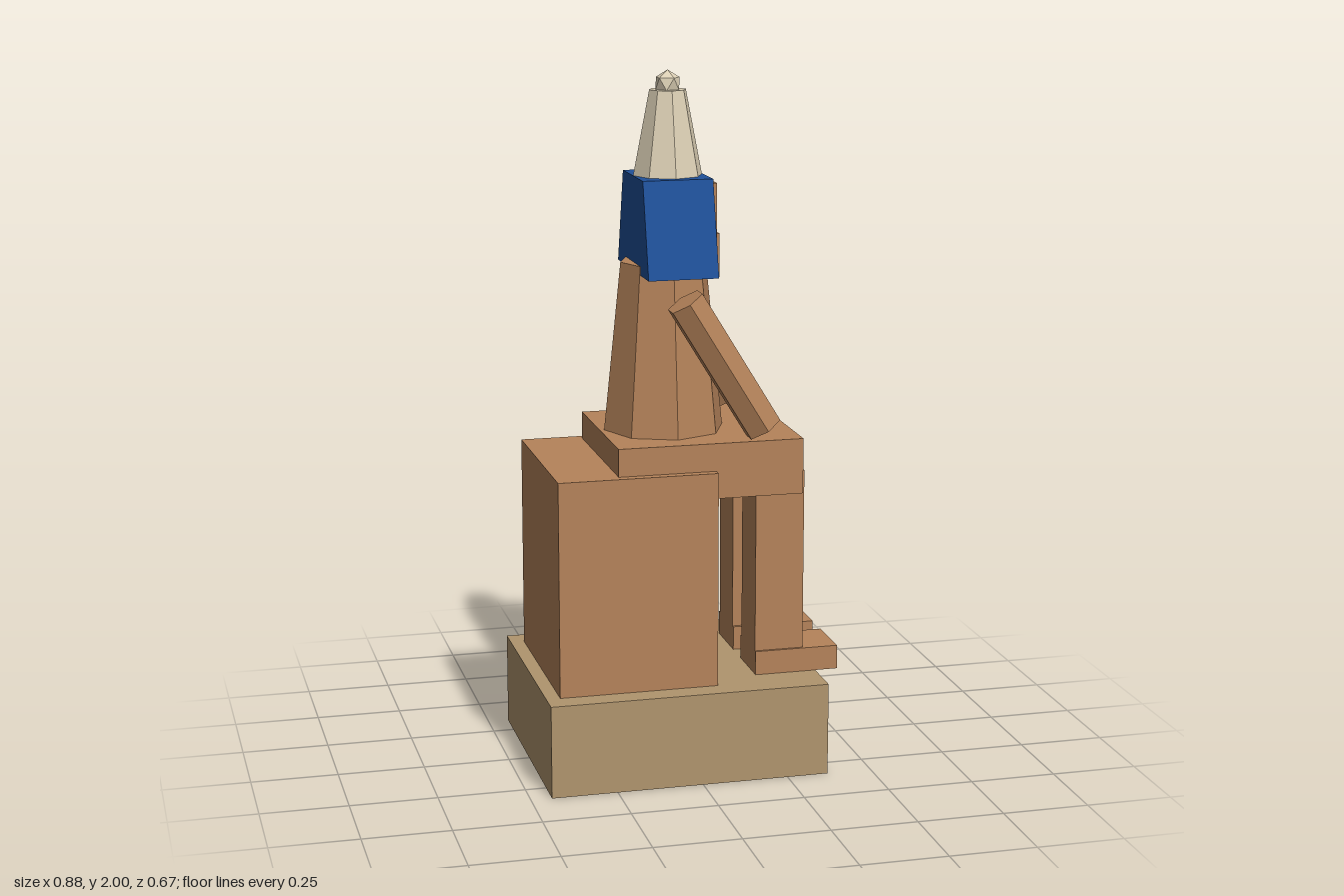
import * as THREE from 'three';

const paint = (name, color) => {
  const m = new THREE.MeshStandardMaterial({ color, flatShading: true });
  m.name = name;
  return m;
};

export function createModel() {
  const model = new THREE.Group();
  model.name = 'seatedStatue';
  const clay = paint('clay', 0xb5835a);
  const sand = paint('sandstone', 0xb0956e);
  const blue = paint('blue', 0x1f5099);
  const ivory = paint('ivory', 0xdbcfb4);

  const add = (name, geometry, material) => {
    const mesh = new THREE.Mesh(geometry, material);
    mesh.name = name;
    model.add(mesh);
    return mesh;
  };
  // Box given by its extents on each axis
  const box = (name, [x0, x1], [y0, y1], [z0, z1], material) =>
    add(name, new THREE.BoxGeometry(x1 - x0, y1 - y0, z1 - z0), material)
      .position.set((x0 + x1) / 2, (y0 + y1) / 2, (z0 + z1) / 2);

  // Plinth, throne and lap; the figure looks along +x
  box('plinth', [-0.44, 0.37], [0, 0.27], [-0.335, 0.335], sand);
  box('throne', [-0.4, 0.06], [0.27, 0.895], [-0.268, 0.268], clay);
  box('lap', [-0.222, 0.315], [0.815, 0.975], [-0.242, 0.242], clay);

  // Tapered octagonal torso
  add('torso', new THREE.CylinderGeometry(0.125, 0.175, 0.485, 8), clay)
    .position.set(-0.034, 1.2175, 0);

  // Legs, feet and slanted hexagonal arms on both sides
  const shoulder = new THREE.Vector2(-0.021, 1.376);
  const hand = new THREE.Vector2(0.207, 1.004);
  const reach = shoulder.clone().sub(hand);
  for (const [side, s] of [['left', -1], ['right', 1]]) {
    const span = (a, b) => (s > 0 ? [a, b] : [-b, -a]);
    box(side + 'Leg', [0.19, 0.333], [0.27, 0.87], span(0.05, 0.195), clay);
    box(side + 'Foot', [0.19, 0.436], [0.27, 0.34], span(0.04, 0.203), clay);
    const arm = add(side + 'Arm', new THREE.CylinderGeometry(0.057, 0.057, reach.length(), 6), clay);
    arm.position.set((shoulder.x + hand.x) / 2, (shoulder.y + hand.y) / 2, s * 0.202);
    arm.rotation.z = Math.atan2(-reach.x, reach.y);
  }

  // Head and beard
  box('head', [-0.1, 0.097], [1.475, 1.69], [-0.1, 0.1], clay);
  box('beard', [0.08, 0.125], [1.41, 1.535], [-0.025, 0.025], clay);

  // Flared headcloth: a box with its top edges drawn in
  const cloth = new THREE.BoxGeometry(0.202, 0.27, 0.378);
  const p = cloth.attributes.position;
  for (let i = 0; i < p.count; i++) if (p.getY(i) > 0) p.setZ(i, Math.sign(p.getZ(i)) * 0.122);
  cloth.computeVertexNormals();
  add('headcloth', cloth, blue).position.set(-0.021, 1.57, 0);

  // Tall crown with a faceted knob standing on one of its points
  add('crown', new THREE.CylinderGeometry(0.053, 0.1, 0.24, 8), ivory).position.set(-0.021, 1.825, 0);
  const knob = new THREE.IcosahedronGeometry(0.039, 0);
  knob.rotateX(-Math.atan2((1 + Math.sqrt(5)) / 2, 1));
  knob.rotateY(Math.PI / 2);
  add('crownKnob', knob, ivory).position.set(-0.021, 1.961, 0);

  return model;
}
